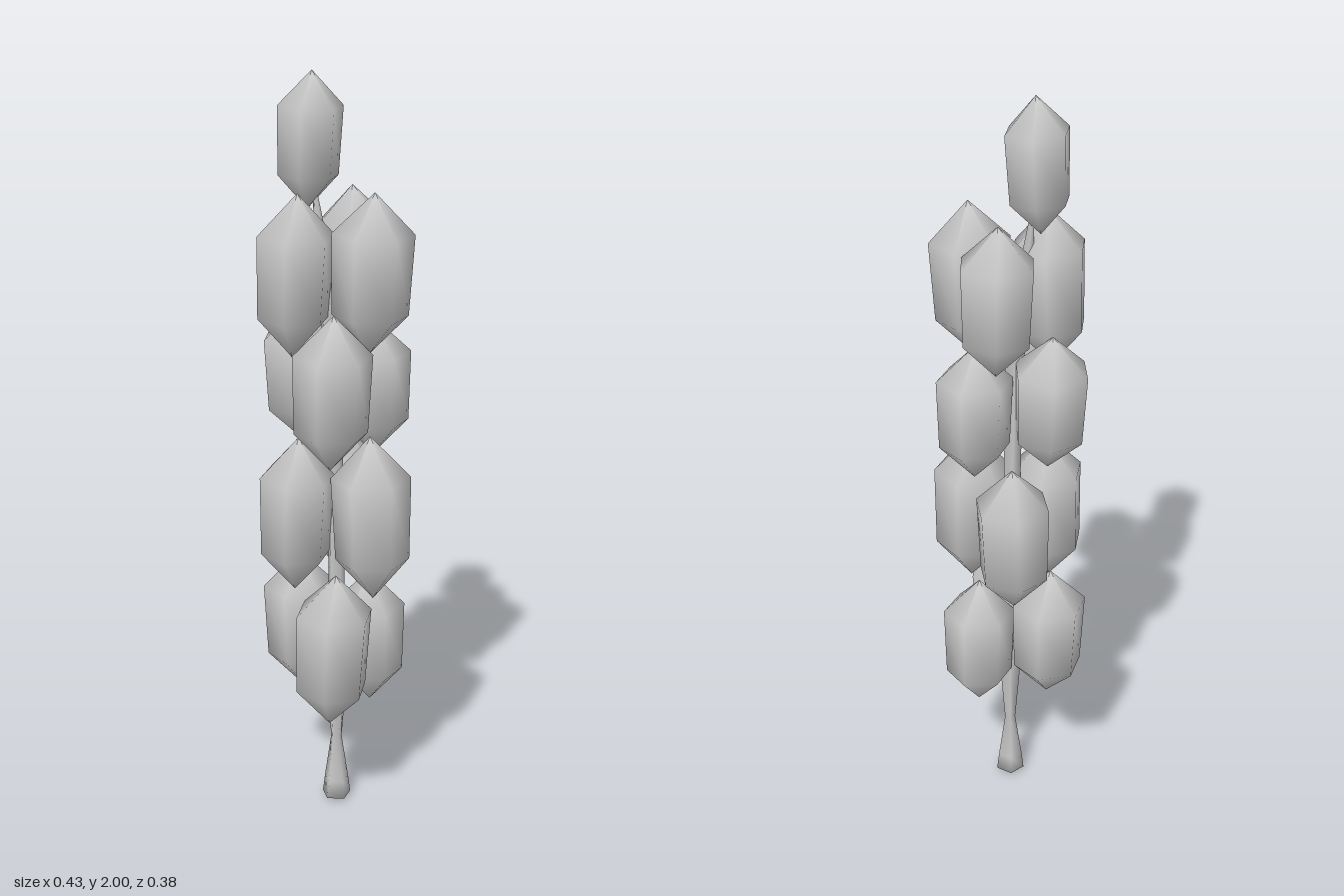
import * as THREE from 'three';

export function createModel() {
  const group = new THREE.Group();
  const grey = new THREE.MeshStandardMaterial({ color: 0xc8c8c8 });
  grey.name = 'grey';

  const lathe = (pts, sides) =>
    new THREE.LatheGeometry(pts.map(([r, y]) => new THREE.Vector2(r, y)), sides);

  // Unit grain: pointed six-sided body, radius 1, height 1
  const grainGeo = lathe([[0, -0.5], [0.93, -0.25], [1, 0.25], [0, 0.5]], 6);

  // One grain: centre x/z, bottom and top height, radius, turn and lean
  function addGrain(name, x, z, y0, y1, r, turn, leanX = 0, leanZ = 0) {
    const holder = new THREE.Group();
    holder.name = name;
    const grain = new THREE.Mesh(grainGeo, grey);
    grain.name = 'grainBody';
    grain.scale.set(r, y1 - y0, r);
    grain.rotation.y = turn;
    holder.add(grain);
    holder.position.set(x, (y0 + y1) / 2, z);
    holder.rotation.set(leanX, 0, leanZ);
    group.add(holder);
  }

  // Four tiers of three grains, each tier turned against the next
  const tiers = [
    [[0.065, 0.095, 0.29, 0.73, 0.104, 0.5, 0, -0.05],
     [-0.115, 0.01, 0.32, 0.72, 0.1, 0.25, 0, 0.02],
     [0.05, -0.08, 0.29, 0.68, 0.096, 0.1, 0.02, 0]],
    [[-0.06, 0.09, 0.65, 1.08, 0.1, 0.4, 0, -0.04],
     [0.11, -0.01, 0.64, 1.09, 0.104, 0.15, 0, 0.03],
     [-0.07, -0.1, 0.65, 1.07, 0.1, 0.7, -0.03, 0]],
    [[0.055, 0.085, 1.01, 1.42, 0.102, 0.3, 0, -0.03],
     [-0.115, 0.005, 1.04, 1.41, 0.1, 0.6, 0, 0.03],
     [0.05, -0.09, 1.01, 1.38, 0.098, 0.2, 0.02, 0]],
    [[-0.06, 0.09, 1.29, 1.71, 0.1, 0.45, 0, -0.05],
     [0.113, 0, 1.31, 1.72, 0.103, 0.2, 0, -0.04],
     [-0.02, -0.095, 1.32, 1.71, 0.1, 0.55, 0.03, 0]],
  ];
  tiers.forEach((tier, i) =>
    tier.forEach((g, j) => addGrain(`grainTier${i + 1}No${j + 1}`, ...g)));

  // Single grain at the tip
  addGrain('tipGrain', -0.06, 0.03, 1.66, 2.0, 0.083, 0.4, 0, -0.05);

  // Stem: flared foot, narrow waist, then up through the ear
  const stem = new THREE.Mesh(
    lathe([[0, 0], [0.04, 0.01], [0.034, 0.06], [0.015, 0.19], [0.03, 0.38],
      [0.022, 0.7], [0.024, 1.3], [0.016, 1.6], [0, 1.76]], 5), grey);
  stem.name = 'stem';
  const pos = stem.geometry.attributes.position;
  // Bend the upper end towards the tip grain
  for (let i = 0; i < pos.count; i++) {
    const t = Math.max(0, (pos.getY(i) - 1.2) / 0.56);
    pos.setX(i, pos.getX(i) - 0.05 * t);
    pos.setZ(i, pos.getZ(i) + 0.03 * t);
  }
  group.add(stem);

  return group;
}
